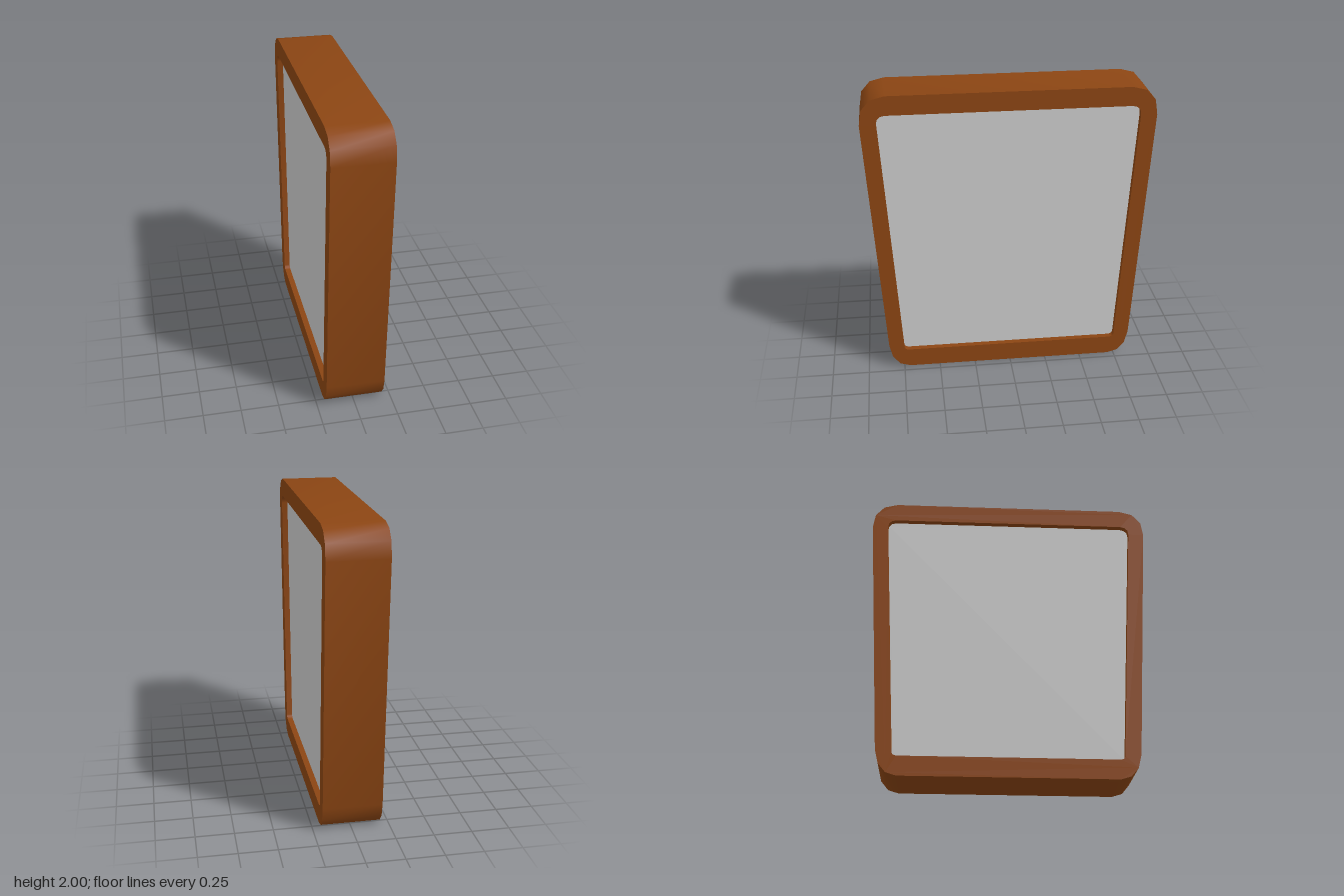
import * as THREE from 'three';
import { toCreasedNormals } from 'three/addons/utils/BufferGeometryUtils.js';

// Rounded, symmetric trapezoid; corners are [half width, y, cut along side, cut along edge]
function roundedTrapezoid(path, top, bottom) {
  const [tw, ty, tSide, tEdge] = top;
  const [bw, by, bSide, bEdge] = bottom;
  const slope = (tw - bw) / (ty - by);
  const corner = (a, c, b) => {
    const k = 0.6; // how far the handles reach towards the sharp corner
    path.bezierCurveTo(
      a[0] + (c[0] - a[0]) * k, a[1] + (c[1] - a[1]) * k,
      b[0] + (c[0] - b[0]) * k, b[1] + (c[1] - b[1]) * k, b[0], b[1]);
  };
  const topSide = [tw - tSide * slope, ty - tSide];
  const bottomSide = [bw + bSide * slope, by + bSide];
  const flip = ([x, y]) => [-x, y];
  const tE = [tw - tEdge, ty], bE = [bw - bEdge, by];
  path.moveTo(-bE[0], by);
  path.lineTo(...bE);
  corner(bE, [bw, by], bottomSide);
  path.lineTo(...topSide);
  corner(topSide, [tw, ty], tE);
  path.lineTo(...flip(tE));
  corner(flip(tE), [-tw, ty], flip(topSide));
  path.lineTo(...flip(bottomSide));
  corner(flip(bottomSide), [-bw, by], flip(bE));
  return path;
}

// Extrude a profile across x, centred on x = 0
function slab(name, shape, thickness, color) {
  let geometry = new THREE.ExtrudeGeometry(shape, { depth: thickness, bevelEnabled: false, curveSegments: 3 });
  geometry.translate(0, 0, -thickness / 2);
  geometry.rotateY(Math.PI / 2);
  geometry = toCreasedNormals(geometry, 0.7);
  const mesh = new THREE.Mesh(geometry, new THREE.MeshStandardMaterial({ color }));
  mesh.name = name;
  return mesh;
}

export function createModel() {
  const group = new THREE.Group();
  group.name = 'framedPanel';

  const innerTop = [0.855, 1.872, 0.06, 0.06];
  const innerBottom = [0.745, 0.132, 0.025, 0.03];

  // Deep wooden frame with a tapered opening
  const outline = roundedTrapezoid(new THREE.Shape(), [0.97, 2, 0.19, 0.18], [0.84, 0, 0.17, 0.13]);
  outline.holes.push(roundedTrapezoid(new THREE.Path(), innerTop, innerBottom));
  group.add(slab('frame', outline, 0.39, 0x8b4513));

  // Grey panel filling the opening, set back on both faces
  const panel = roundedTrapezoid(new THREE.Shape(), innerTop, innerBottom);
  group.add(slab('panel', panel, 0.31, 0xcccccc));

  return group;
}
